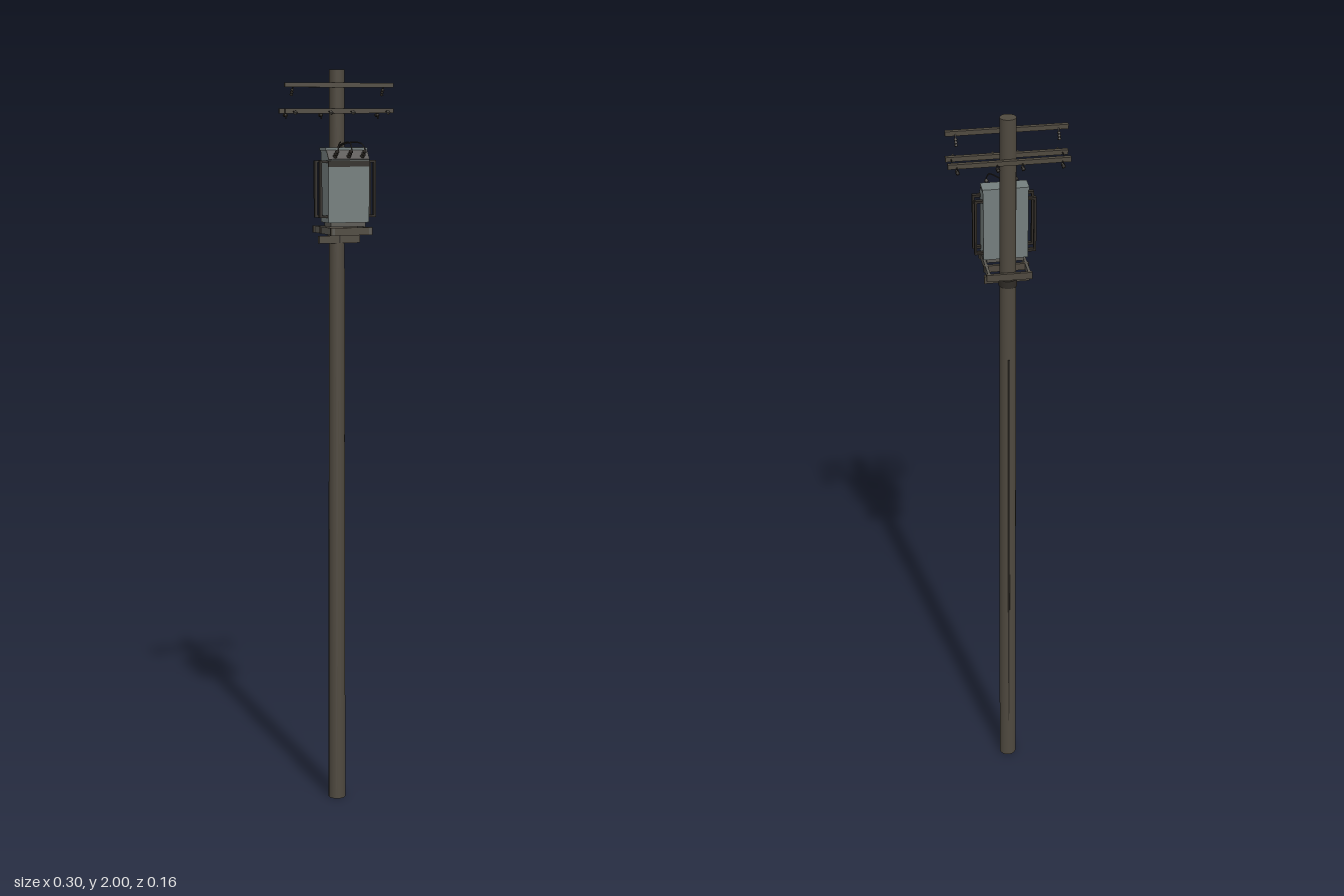
import * as THREE from 'three';

const mat = (name, color) => {
  const m = new THREE.MeshStandardMaterial({ color });
  m.name = name;
  return m;
};

export function createModel() {
  const root = new THREE.Group();
  root.name = 'utilityPole';
  const wood = mat('weathered wood', 0x4f493f);
  const steel = mat('grey painted steel', 0x747e7d);
  const iron = mat('dark iron', 0x2f2b26);
  const bracket = mat('bracket steel', 0x5b5953);
  const ceramic = mat('insulator ceramic', 0x55524c);

  const add = (name, geo, m, x = 0, y = 0, z = 0, parent = root) => {
    const mesh = new THREE.Mesh(geo, m);
    mesh.name = name;
    mesh.position.set(x, y, z);
    parent.add(mesh);
    return mesh;
  };
  const box = (name, w, h, d, m, x, y, z, parent) =>
    add(name, new THREE.BoxGeometry(w, h, d), m, x, y, z, parent);
  // Round bar between two points
  const rod = (name, a, b, r, m, parent) => {
    const p = new THREE.Vector3(...a), q = new THREE.Vector3(...b);
    const mesh = add(name, new THREE.CylinderGeometry(r, r, p.distanceTo(q), 8), m, 0, 0, 0, parent);
    mesh.position.copy(p).add(q).multiplyScalar(0.5);
    mesh.quaternion.setFromUnitVectors(new THREE.Vector3(0, 1, 0), q.sub(p).normalize());
    return mesh;
  };
  // Ribbed insulator turned along y, centred on its length
  const insulator = (h, r) => {
    const pts = [new THREE.Vector2(0, -h / 2)];
    for (let i = 0; i < 3; i++) {
      const y = -h / 2 + (i * h) / 3;
      pts.push(new THREE.Vector2(r * 0.5, y), new THREE.Vector2(r, y + h * 0.1),
        new THREE.Vector2(r * 0.5, y + h * 0.28));
    }
    pts.push(new THREE.Vector2(0, h / 2));
    return new THREE.LatheGeometry(pts, 8);
  };

  // Tapered pole with a cable conduit down the back
  const poleZ = -0.035;
  add('pole', new THREE.CylinderGeometry(0.0205, 0.0235, 2, 16), wood, 0, 1, poleZ);
  rod('conduit', [0, 0.13, -0.0555], [0, 1.34, -0.0555], 0.003, iron);

  // Crossarms: one upper, a pair lower
  const arm = (name, y, z) => box(name, 0.304, 0.012, 0.011, wood, 0, y, z);
  arm('upperCrossarm', 1.96, -0.016);
  arm('lowerFrontCrossarm', 1.893, -0.016);
  arm('lowerBackCrossarm', 1.893, -0.061);

  for (const s of [-1, 1]) {
    // Spacer straps between the lower arms
    rod('armSpacer', [s * 0.138, 1.893, -0.061], [s * 0.138, 1.893, -0.016], 0.0015, iron);
    // Strain insulators hanging under the upper arm
    rod('hangerHook', [s * 0.127, 1.958, -0.02], [s * 0.127, 1.948, -0.027], 0.002, iron);
    add('hangingInsulator', insulator(0.022, 0.005), iron, s * 0.127, 1.942, -0.03).rotation.x = 0.5;
    // Insulators on the lower arms
    for (const x of [s * 0.13, s * 0.031]) {
      rod('frontPin', [x, 1.892, -0.016], [x, 1.892, 0.008], 0.0015, iron);
      add('frontInsulator', new THREE.OctahedronGeometry(0.007), ceramic, x, 1.889, 0.007);
      rod('backPin', [x, 1.89, -0.08], [x, 1.89, -0.043], 0.0015, iron);
      add('backInsulator', insulator(0.018, 0.005), iron, x, 1.882, -0.073).rotation.x = Math.PI / 2;
      rod('backHook', [x, 1.89, -0.066], [x, 1.872, -0.069], 0.002, iron);
    }
  }

  // Transformer tank with a sloped front shoulder
  const tf = new THREE.Group();
  tf.name = 'transformer';
  root.add(tf);
  const profile = new THREE.Shape();
  [[-0.003, 1.605], [0.055, 1.605], [0.055, 1.768], [0.037, 1.792], [-0.003, 1.792]]
    .forEach(([z, y], i) => (i ? profile.lineTo(-z, y) : profile.moveTo(-z, y)));
  const tankGeo = new THREE.ExtrudeGeometry(profile, { depth: 0.114, bevelEnabled: false });
  tankGeo.rotateY(Math.PI / 2);
  tankGeo.translate(-0.057, 0, 0);
  add('tank', tankGeo, steel, 0, 0, 0, tf);
  box('lid', 0.118, 0.008, 0.044, steel, 0, 1.795, 0.016, tf);
  box('tankRim', 0.116, 0.016, 0.003, iron, 0, 1.758, 0.055, tf);
  const slope = box('shoulderPlate', 0.114, 0.003, 0.029, iron, 0, 1.7805, 0.0465, tf);
  slope.rotation.x = Math.atan2(0.024, 0.018);
  box('tankFoot', 0.096, 0.012, 0.048, bracket, 0, 1.6, 0.026, tf);

  // Bushings with leads looping back over the lid
  for (const x of [-0.038, 0, 0.038]) {
    const b = add('bushing', insulator(0.03, 0.006), iron, x, 1.784, 0.062, tf);
    b.rotation.x = 0.9;
    const lead = new THREE.CatmullRomCurve3([
      [x, 1.793, 0.075], [x * 0.85, 1.808, 0.068], [x * 0.5, 1.813, 0.042],
      [x * 0.15 - 0.008, 1.807, 0.018], [-0.012, 1.796, 0.004],
    ].map(p => new THREE.Vector3(...p)));
    add('lead', new THREE.TubeGeometry(lead, 16, 0.0018, 6), iron, 0, 0, 0, tf);
  }

  // Cooling pipes looping out of both sides
  for (const s of [-1, 1])
    for (const z of [0.007, 0.044]) {
      box('coolingPipe', 0.006, 0.148, 0.011, iron, s * 0.0755, 1.692, z, tf);
      for (const y of [1.621, 1.763])
        box('coolingPipeElbow', 0.02, 0.006, 0.011, iron, s * 0.0655, y, z, tf);
    }

  // Platform bolted round the pole
  const pf = new THREE.Group();
  pf.name = 'platform';
  root.add(pf);
  for (const s of [-1, 1])
    box('sideRail', 0.007, 0.018, 0.138, bracket, s * 0.051, 1.583, 0.008, pf);
  box('frontBeam', 0.116, 0.02, 0.008, wood, 0, 1.583, 0.072, pf);
  box('middleBeam', 0.116, 0.018, 0.008, wood, 0, 1.583, -0.008, pf);
  box('backBeam', 0.116, 0.018, 0.008, wood, 0, 1.583, -0.06, pf);
  box('lowerBeam', 0.116, 0.02, 0.009, wood, 0, 1.557, -0.0165, pf);
  add('poleClamp', new THREE.CylinderGeometry(0.0235, 0.0235, 0.02, 16), iron, 0, 1.557, poleZ, pf);
  return root;
}
